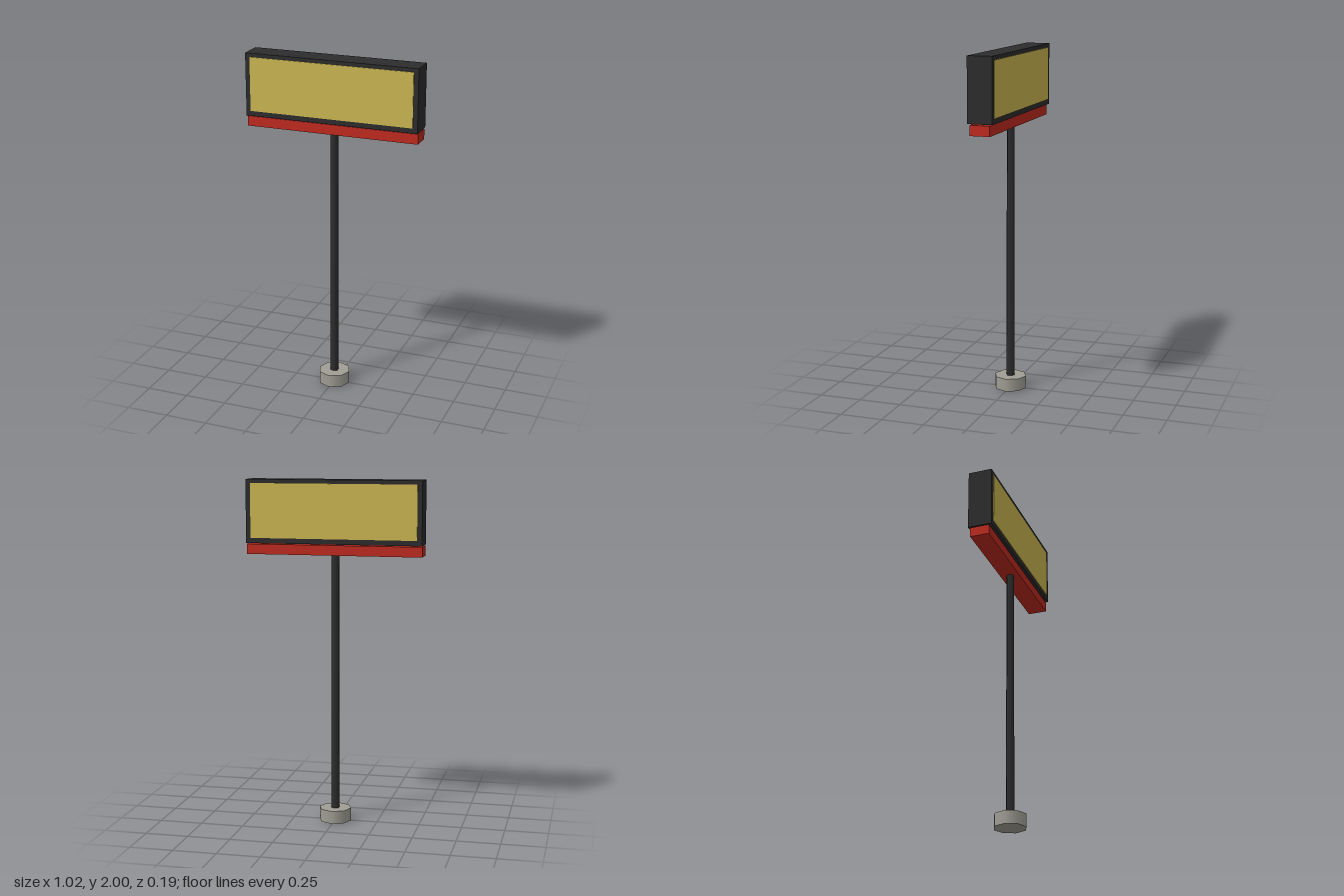
import * as THREE from 'three';

function paint(name, color) {
  const m = new THREE.MeshStandardMaterial({ color });
  m.name = name;
  return m;
}

export function createModel() {
  const sign = new THREE.Group();
  sign.name = 'roadsideSign';

  const dark = paint('charcoal', 0x2d2d2d);
  const yellow = paint('panelYellow', 0xccb751);
  const red = paint('trimRed', 0xc02b20);
  const concrete = paint('concreteGrey', 0xa09e94);

  function add(name, geometry, material, y, z = 0) {
    const mesh = new THREE.Mesh(geometry, material);
    mesh.name = name;
    mesh.position.set(0, y, z);
    sign.add(mesh);
    return mesh;
  }

  // Octagonal footing and slightly tapered six-sided pole
  add('footing', new THREE.CylinderGeometry(0.095, 0.095, 0.075, 8), concrete, 0.0375);
  add('pole', new THREE.CylinderGeometry(0.0228, 0.0252, 1.5, 6), dark, 0.825);

  // Red trim bar, with a narrow gap below the cabinet
  add('trimBar', new THREE.BoxGeometry(1.02, 0.058, 0.114), red, 1.601);

  // Sign cabinet
  add('cabinet', new THREE.BoxGeometry(1.02, 0.364, 0.142), dark, 1.818);

  // Thin display panel on each face
  for (const side of [1, -1]) {
    add(side > 0 ? 'frontPanel' : 'backPanel',
      new THREE.BoxGeometry(0.965, 0.312, 0.006), yellow, 1.822, side * 0.072);
  }

  return sign;
}
